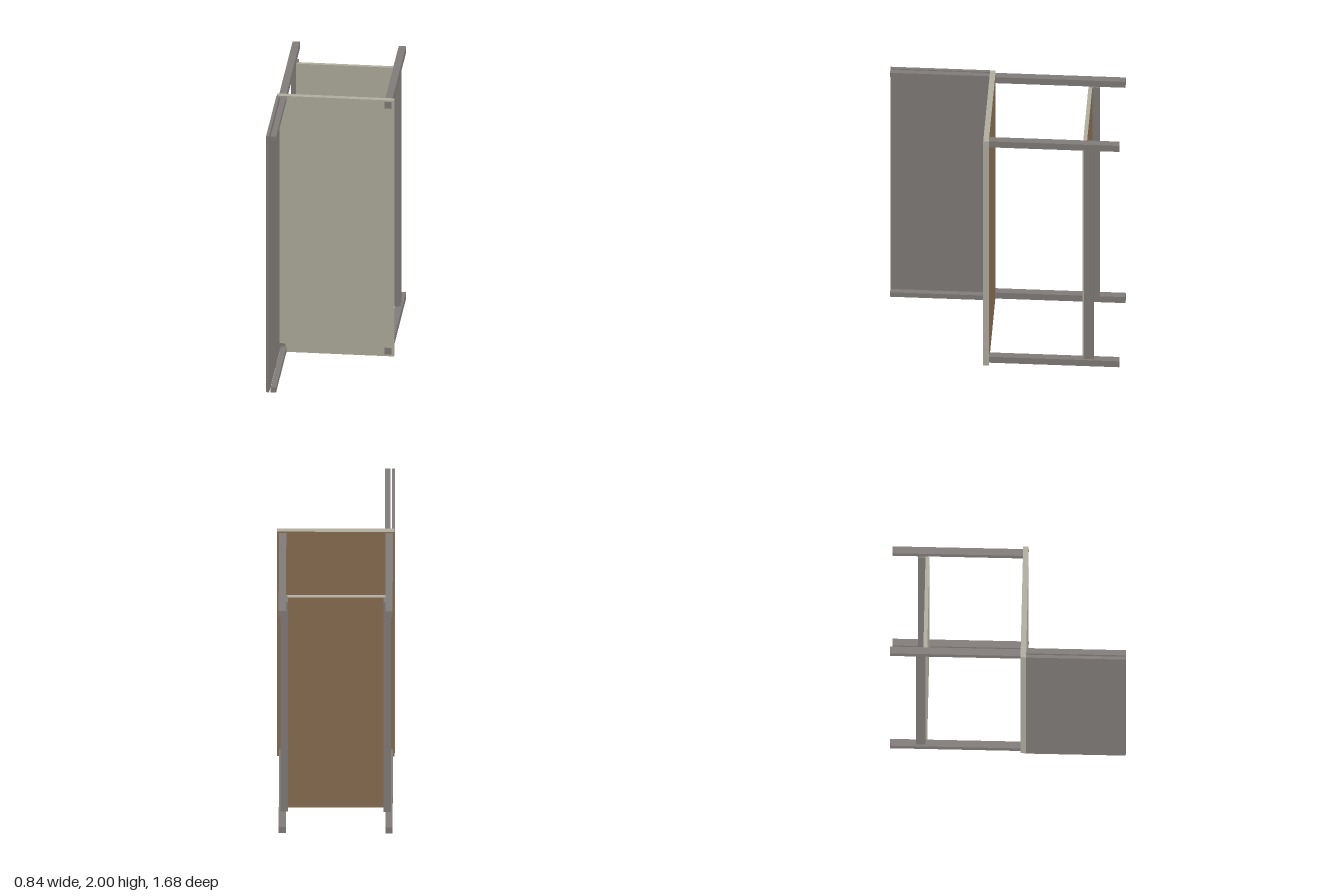
import * as THREE from 'three';

const beige = new THREE.MeshStandardMaterial({ color: 0xb2b0a0 });
beige.name = 'beigeLaminate';
const brown = new THREE.MeshStandardMaterial({ color: 0x8a6e52 });
brown.name = 'brownBacking';
const grey = new THREE.MeshStandardMaterial({ color: 0x827d7a });
grey.name = 'greySteel';

// Box given by its extents along each axis
function box(name, [x0, x1], [y0, y1], [z0, z1], material) {
  const geometry = new THREE.BoxGeometry(x1 - x0, y1 - y0, z1 - z0);
  const mesh = new THREE.Mesh(geometry, material);
  mesh.position.set((x0 + x1) / 2, (y0 + y1) / 2, (z0 + z1) / 2);
  mesh.name = name;
  return mesh;
}

export function createModel() {
  const group = new THREE.Group();
  group.name = 'workbenchOnItsSide';

  // Boards: beige with a brown underside facing -z
  const worktopFaces = [beige, beige, beige, beige, beige, brown];
  const shelfFaces = [beige, beige, beige, brown, beige, brown];
  group.add(box('worktop', [-0.42, 0.42], [0, 2], [0.09, 0.13], worktopFaces));
  group.add(box('shelf', [-0.355, 0.35], [0.066, 1.936], [-0.604, -0.576], shelfFaces));

  // Four legs run through the worktop, with ends just showing on its face
  for (const [side, x] of [['right', [-0.408, -0.356]], ['left', [0.352, 0.404]]]) {
    group.add(box(side + 'LowerLeg', x, [0.013, 0.066], [-0.84, 0.1305], grey));
    group.add(box(side + 'UpperLeg', x, [1.936, 1.989], [-0.84, 0.1305], grey));
  }

  // Stretchers carrying the shelf between the legs
  group.add(box('rightStretcher', [-0.395, -0.344], [0.066, 1.936], [-0.657, -0.588], grey));
  group.add(box('leftStretcher', [0.339, 0.39], [0.066, 1.936], [-0.657, -0.588], grey));

  // Back panel and its two uprights
  group.add(box('backPanel', [-0.422, -0.4], [0, 2], [0.13, 0.84], grey));
  for (const [name, y] of [['lowerUpright', [0, 0.04]], ['upperUpright', [1.963, 2]]]) {
    group.add(box(name, [-0.39, -0.35], y, [0.13, 0.84], grey));
  }
  return group;
}
